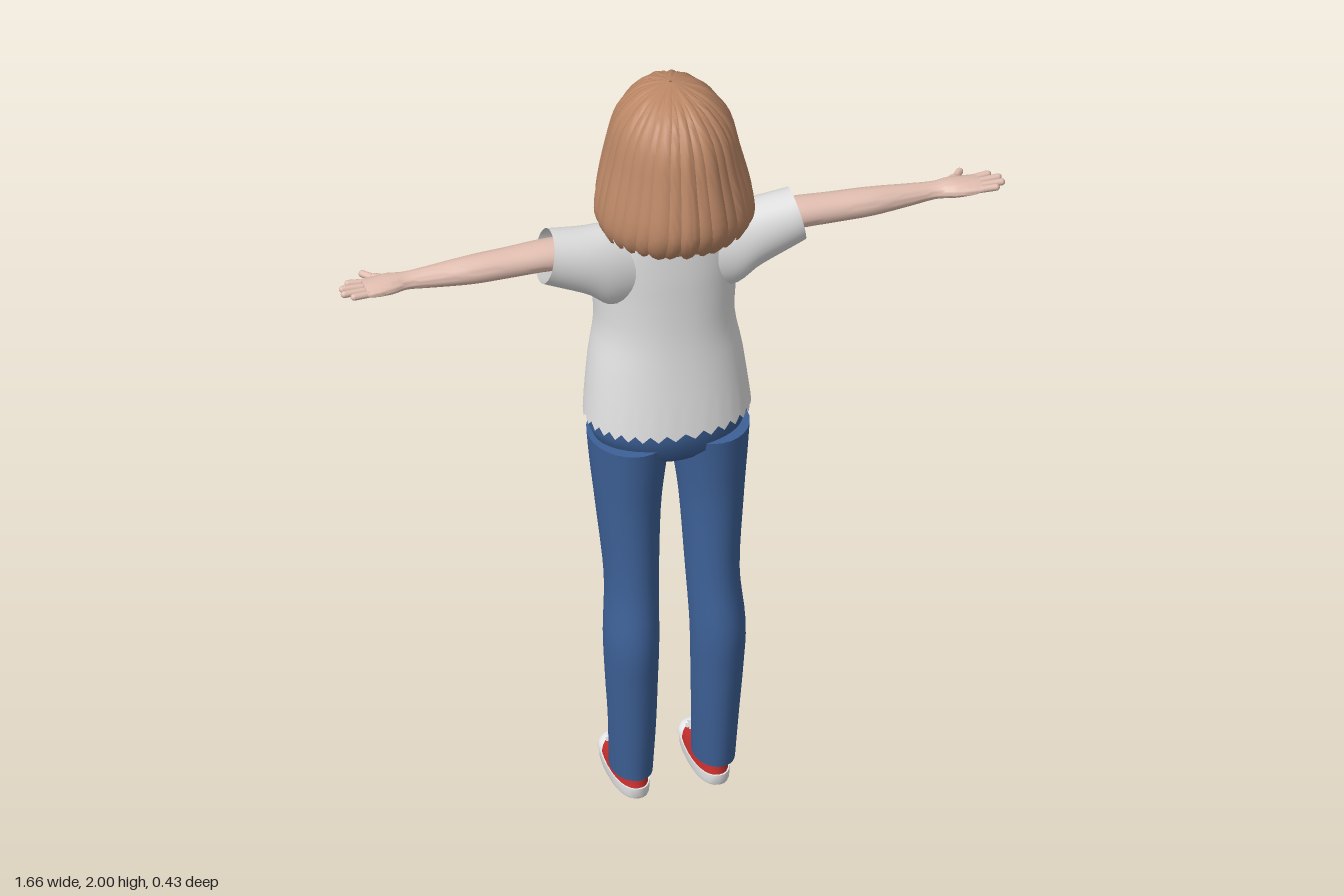
import * as THREE from 'three';
import { mergeVertices, toCreasedNormals } from 'three/addons/utils/BufferGeometryUtils.js';

const mat = (name, color, side = THREE.FrontSide) => {
  const m = new THREE.MeshStandardMaterial({ color, side });
  m.name = name;
  return m;
};
const V = (x, y, z) => new THREE.Vector3(x, y, z);

// Surface from fn(u, v); triangles are turned outward from the middle.
function grid(nu, nv, fn, crease = 1.1) {
  const pos = [], idx = [];
  for (let j = 0; j <= nv; j++) for (let i = 0; i <= nu; i++) pos.push(...fn(i / nu, j / nv, i, j).toArray());
  for (let j = 0; j < nv; j++) for (let i = 0; i < nu; i++) {
    const a = j * (nu + 1) + i, b = a + 1, c = a + nu + 1, d = c + 1;
    idx.push(a, c, b, b, c, d);
  }
  let g = new THREE.BufferGeometry();
  g.setAttribute('position', new THREE.Float32BufferAttribute(pos, 3));
  g.computeBoundingBox();
  const mid = g.boundingBox.getCenter(V(0, 0, 0));
  const p = k => V(pos[k * 3], pos[k * 3 + 1], pos[k * 3 + 2]).sub(mid);
  let vol = 0;
  for (let k = 0; k < idx.length; k += 3) vol += p(idx[k]).dot(p(idx[k + 1]).cross(p(idx[k + 2])));
  if (vol < 0) idx.reverse();
  g.setIndex(idx);
  g = mergeVertices(g, 1e-5);
  return toCreasedNormals(g, crease);
}

// Smoothly resample rows of section values.
function sample(rows, n) {
  const out = [];
  for (let k = 0; k <= n; k++) {
    const t = k / n * (rows.length - 1), i = Math.min(Math.floor(t), rows.length - 2), f = t - i;
    const r = q => rows[Math.max(0, Math.min(rows.length - 1, q))];
    out.push(rows[0].map((_, c) => {
      const a = r(i - 1)[c], b = r(i)[c], d = r(i + 1)[c], e = r(i + 2)[c];
      const m0 = (d - a) / 2, m1 = (e - b) / 2;
      return b + m0 * f + (3 * (d - b) - 2 * m0 - m1) * f * f + (2 * (b - d) + m0 + m1) * f * f * f;
    }));
  }
  return out;
}

// Loft of oval sections [along, c1, c2, r1, r2], upright (y) or sideways (x).
function loft(rows, { axis = 'y', n = 28, power = 2, cap = true, edge = 0, side = 1, crease } = {}) {
  const r = rows.slice();
  if (cap) {
    const flat = q => [q[0], q[1], q[2], 0, 0];
    r.unshift(flat(r[0]));
    r.push(flat(r[r.length - 1]));
  }
  const pw = c => Math.sign(c) * Math.abs(c) ** (2 / power);
  return grid(n, r.length - 1, (u, v, i, j) => {
    const a = (i % n) / n * Math.PI * 2, q = r[j];
    const p = q[1] + q[3] * pw(Math.cos(a)), s = q[2] + q[4] * pw(Math.sin(a));
    const end = j === 0 ? -1 : j === r.length - 1 ? 1 : 0;
    const h = q[0] + (i % 2 ? edge * end : 0);
    return axis === 'y' ? V(side * p, h, s) : V(side * h, p, s);
  }, crease);
}

export function createModel() {
  const model = new THREE.Group();
  model.name = 'standingGirl';
  const skin = mat('skin', 0xe2bfb1), hair = mat('hair', 0xbb8766, THREE.DoubleSide);
  const shirt = mat('shirt', 0xe0dfdf, THREE.DoubleSide), denim = mat('denim', 0x3d6096);
  const red = mat('shoe red', 0xc8302e), white = mat('white', 0xf0f0f0, THREE.DoubleSide);
  const iris = mat('iris', 0xb57c62, THREE.DoubleSide), dark = mat('lash', 0x4a3028, THREE.DoubleSide);
  const lip = mat('lip', 0xb97368, THREE.DoubleSide);
  const add = (name, geo, m, x = 0, y = 0, z = 0) => {
    const o = new THREE.Mesh(geo, m);
    o.name = name;
    o.position.set(x, y, z);
    model.add(o);
    return o;
  };
  const rod = (name, a, b, r, m) => {
    const d = b.clone().sub(a), c = a.clone().add(b).multiplyScalar(0.5);
    const o = add(name, new THREE.CapsuleGeometry(r, d.length(), 4, 10), m, c.x, c.y, c.z);
    o.quaternion.setFromUnitVectors(V(0, 1, 0), d.normalize());
  };

  // Shirt body: [y, half width, back z, front z], ragged hem and collar
  const body = [[1.06, .203, .1, -.21], [1.2, .187, .075, -.213], [1.3, .17, .06, -.215], [1.4, .176, .053, -.215],
    [1.46, .18, .05, -.203], [1.52, .178, .045, -.172], [1.565, .155, .04, -.125], [1.595, .115, .035, -.088], [1.615, .06, .025, -.07]]
    .map(([y, w, b, f]) => [y, 0, (b + f) / 2, w, (b - f) / 2]);
  add('shirtBody', loft(sample(body, 24), { n: 64, power: 2.2, cap: false, edge: .018 }), shirt);

  // Trouser hips
  add('hips', loft([[.95, 0, -.045, .11, .09], [.98, 0, -.046, .175, .118], [1.03, 0, -.045, .196, .124], [1.09, 0, -.045, .19, .122]], { n: 40 }), denim);

  // Head, neck and nose
  const headRows = sample([[1.645, 0, -.1, .022, .022], [1.66, 0, -.086, .048, .046], [1.7, 0, -.05, .086, .098], [1.75, 0, -.015, .112, .13],
    [1.82, 0, 0, .122, .145], [1.9, 0, 0, .108, .125], [1.95, 0, 0, .065, .075], [1.97, 0, 0, .02, .02]], 28);
  add('head', loft(headRows, { n: 40 }), skin);
  add('neck', loft([[1.54, 0, -.035, .06, .045], [1.6, 0, -.03, .042, .038], [1.64, 0, -.03, .036, .036], [1.71, 0, -.03, .038, .04]]), skin);
  add('nose', new THREE.SphereGeometry(1, 12, 8), skin, 0, 1.724, -.148).scale.set(.01, .012, .02);

  // Flat face details laid on the head's surface
  const faceZ = (x, y) => {
    const i = Math.max(0, headRows.findIndex(r => r[0] > y) - 1), a = headRows[i], b = headRows[i + 1];
    const f = (y - a[0]) / (b[0] - a[0]), m = k => a[k] + (b[k] - a[k]) * f;
    return m(2) - m(4) * Math.sqrt(Math.max(0, 1 - (x / m(3)) ** 2));
  };
  const oval = (name, x, y, rx, ry, lift, m) => add(name, grid(24, 4, (u, v) => {
    const px = x + rx * v * Math.cos(u * 2 * Math.PI), py = y + ry * v * Math.sin(u * 2 * Math.PI);
    return V(px, py, faceZ(px, py) - lift);
  }), m);
  oval('mouth', 0, 1.69, .016, .003, .003, lip);

  for (const s of [1, -1]) {
    oval('eyeWhite', s * .055, 1.757, .031, .026, .002, white);
    oval('iris', s * .053, 1.757, .019, .024, .004, iris);
    oval('lash', s * .056, 1.784, .033, .004, .005, dark);

    // Sleeves, open at the cuff
    const sleeve = sample([[.1, 1.49, -.04, .105, .07], [.16, 1.498, -.035, .108, .075], [.22, 1.525, -.028, .086, .07], [.315, 1.557, -.022, .067, .062]], 12);
    const sg = loft(sleeve, { axis: 'x', n: 32, cap: false, side: s });
    const sp = sg.attributes.position;
    for (let i = 0; i < sp.count; i++) {
      const x = Math.abs(sp.getX(i));
      sp.setX(i, s * (x - (sp.getY(i) - 1.557) * .22 * Math.max(0, (x - .2) / .115)));
    }
    add('sleeve', sg, shirt);

    // Arm with palm: [x, y, z, half height, half depth]
    const arm = [[.14, 1.545, -.028, .045, .045], [.3, 1.556, -.027, .038, .045], [.4, 1.555, -.025, .036, .041], [.5, 1.554, -.023, .034, .038],
      [.6, 1.551, -.027, .026, .029], [.66, 1.551, -.028, .02, .026], [.7, 1.553, -.024, .02, .036], [.74, 1.555, -.018, .016, .039], [.77, 1.557, -.016, .011, .037]];
    add('arm', loft(sample(arm, 32), { axis: 'x', side: s }), skin);
    [[-.046, .8], [-.026, .82], [-.004, .822], [.014, .803]].forEach(([z, x], k) =>
      rod('finger', V(s * .755, 1.556, -.042 + k * .017), V(s * x, 1.558, z), .0088, skin));
    rod('thumbBase', V(s * .69, 1.546, -.042), V(s * .725, 1.54, -.075), .013, skin);
    rod('thumb', V(s * .722, 1.54, -.072), V(s * .747, 1.54, -.102), .009, skin);

    // Trouser leg
    const leg = [[.06, .103, -.013, .05, .075], [.2, .104, 0, .056, .075], [.33, .107, .005, .062, .08], [.45, .108, .006, .066, .085], [.6, .101, -.015, .064, .086],
      [.8, .104, -.033, .077, .098], [.92, .102, -.042, .09, .113], [1.0, .099, -.045, .099, .122]];
    add('trouserLeg', loft(sample(leg, 28), { side: s }), denim);

    // Shoe
    add('sole', loft([[0, .1, -.074, .043, .122], [.006, .1, -.074, .045, .125], [.028, .1, -.074, .045, .125]], { power: 2.4, side: s, crease: .8 }), white);
    add('shoeUpper', loft(sample([[.026, .1, -.07, .043, .117], [.045, .1, -.064, .041, .107], [.062, .1, -.045, .038, .086],
      [.082, .1, -.022, .036, .064], [.1, .1, -.012, .034, .05]], 10), { power: 2.3, side: s }), red);
    add('toeCap', new THREE.SphereGeometry(1, 20, 12, 0, Math.PI * 2, 0, Math.PI / 2), white, s * .1, .025, -.153).scale.set(.041, .034, .045);
    add('tongue', new THREE.BoxGeometry(.034, .009, .1), white, s * .1, .072, -.112).rotation.x = -.42;
    for (let k = 0; k < 3; k++)
      add('lace', new THREE.BoxGeometry(.056, .009, .009), white, s * .1, .062 + k * .011, -.13 + k * .025).rotation.x = -.42;
  }

  // Hair outline: [y, half width, back z, front z] from crown to tips
  const hairRows = sample([[2, .004, -.02, -.028], [1.988, .05, .05, -.075], [1.962, .092, .11, -.118], [1.9, .137, .16, -.163],
    [1.8, .162, .188, -.192], [1.7, .185, .208, -.195], [1.645, .188, .195, -.18], [1.605, .17, .165, -.15]], 70);
  const onHair = (phi, t, k) => {
    const f = Math.min(t, .9999) * 70, i = Math.floor(f), a = hairRows[i], b = hairRows[i + 1];
    const [y, w, zb, zf] = a.map((q, c) => q + (b[c] - q) * (f - i));
    return V(w * k * Math.sin(phi), y - (1 - k) * .12, (zb + zf) / 2 - (zb - zf) / 2 * k * Math.cos(phi));
  };
  const around = phi => THREE.MathUtils.smoothstep(Math.abs(Math.atan2(Math.sin(phi), Math.cos(phi))), .6, 1.2);
  add('hairBase', grid(72, 24, (u, v, i) => {
    const phi = (i % 72) / 72 * Math.PI * 2;
    return onHair(phi, v * (.55 + .34 * around(phi) + (i % 2) * .012), .96);
  }), hair);

  // Overlapping pointed locks, the fringe swept away from the parting
  let seed = 7;
  const rnd = () => (seed = (seed * 16807) % 2147483647) / 2147483647;
  const count = 30;
  for (let i = 0; i < count; i++) {
    const phi = (i + .5) / count * Math.PI * 2, side = Math.sin(phi - .2) > 0 ? 1 : -1;
    const back = around(phi), sweep = (1 - back) * .22 * side + (rnd() - .5) * .08;
    const end = .6 + .35 * back + rnd() * .045, w = Math.PI * 2 / count * (1.15 + rnd() * .4), lift = .972 + (i % 2) * .014;
    add('hairLock', grid(6, 24, (u, v) => {
      const tip = v < .72 ? 1 : Math.sqrt(Math.max(0, 1 - ((v - .72) / .28) ** 2));
      const bulge = .035 * (1 - (2 * u - 1) ** 2) * Math.min(1, v * 3);
      return onHair(phi + (u - .5) * w * tip + sweep * v * v, v * end, lift + bulge);
    }), hair);
  }
  return model;
}
